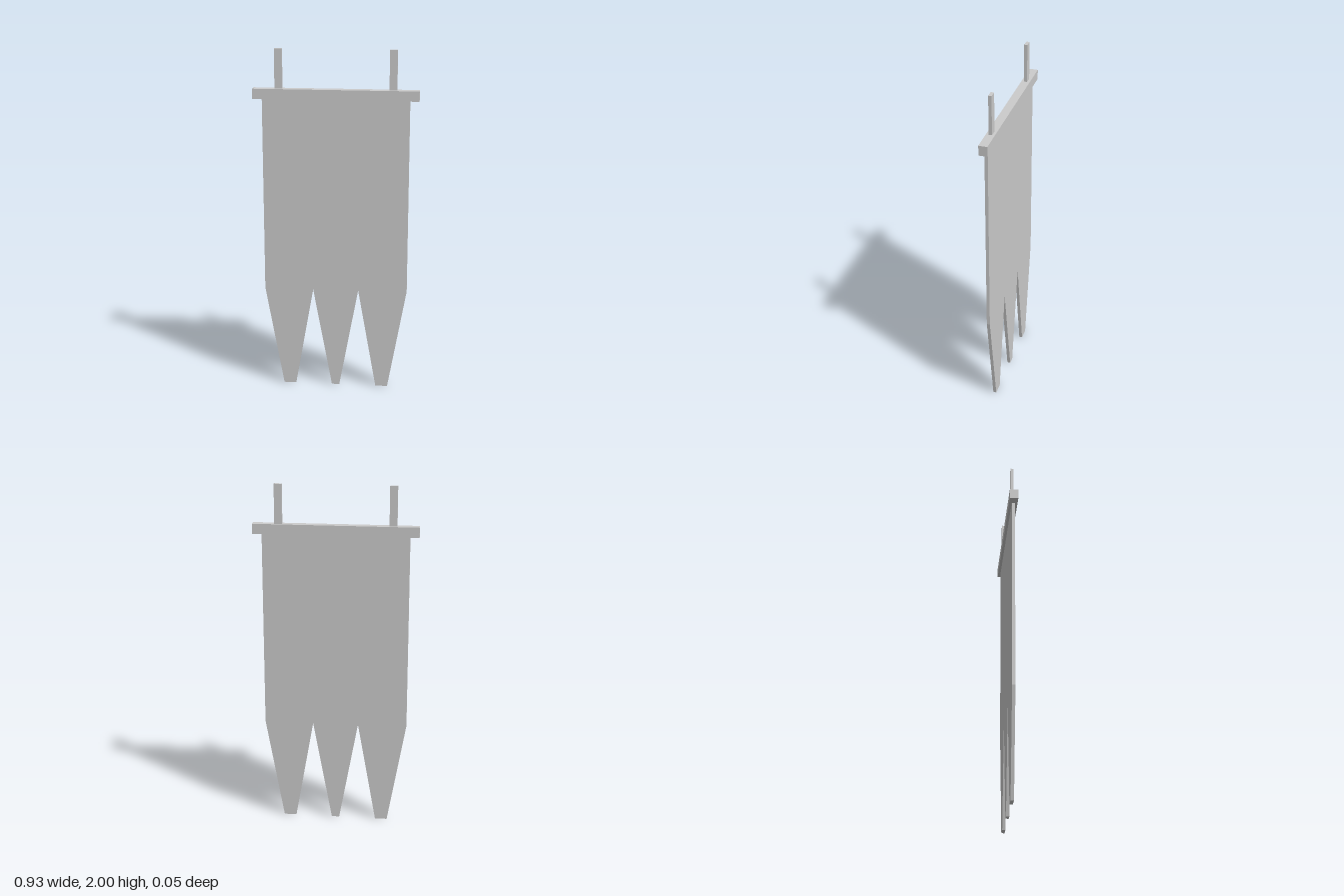
import * as THREE from 'three';

export function createModel() {
  const group = new THREE.Group();
  const material = new THREE.MeshStandardMaterial({ color: 0xcccccc, flatShading: true });
  const thickness = 0.018;

  const add = (name, geometry, x = 0, y = 0, z = 0) => {
    const mesh = new THREE.Mesh(geometry, material);
    mesh.name = name;
    mesh.position.set(x, y, z);
    group.add(mesh);
  };

  // Cloth with three blunt-ended tails, mirrored about the centre line
  const half = [
    [0.022, 0], [0.132, 0.6], [0.238, 0], [0.308, 0], [0.414, 0.6], [0.414, 1.73],
  ];
  const mirrored = half.map(([x, y]) => [-x, y]).reverse();
  const outline = new THREE.Shape([...half, ...mirrored].map(([x, y]) => new THREE.Vector2(x, y)));
  const cloth = new THREE.ExtrudeGeometry(outline, { depth: thickness, bevelEnabled: false });
  add('cloth', cloth, 0, 0, -thickness / 2);

  // Crossbar holding the cloth
  add('crossbar', new THREE.BoxGeometry(0.93, 0.057, 0.048), 0, 1.749, 0);

  // Pair of hanging straps
  for (const [name, side] of [['leftStrap', 1], ['rightStrap', -1]]) {
    add(name, new THREE.BoxGeometry(0.043, 0.23, thickness), side * 0.32, 1.885, 0);
  }

  return group;
}
